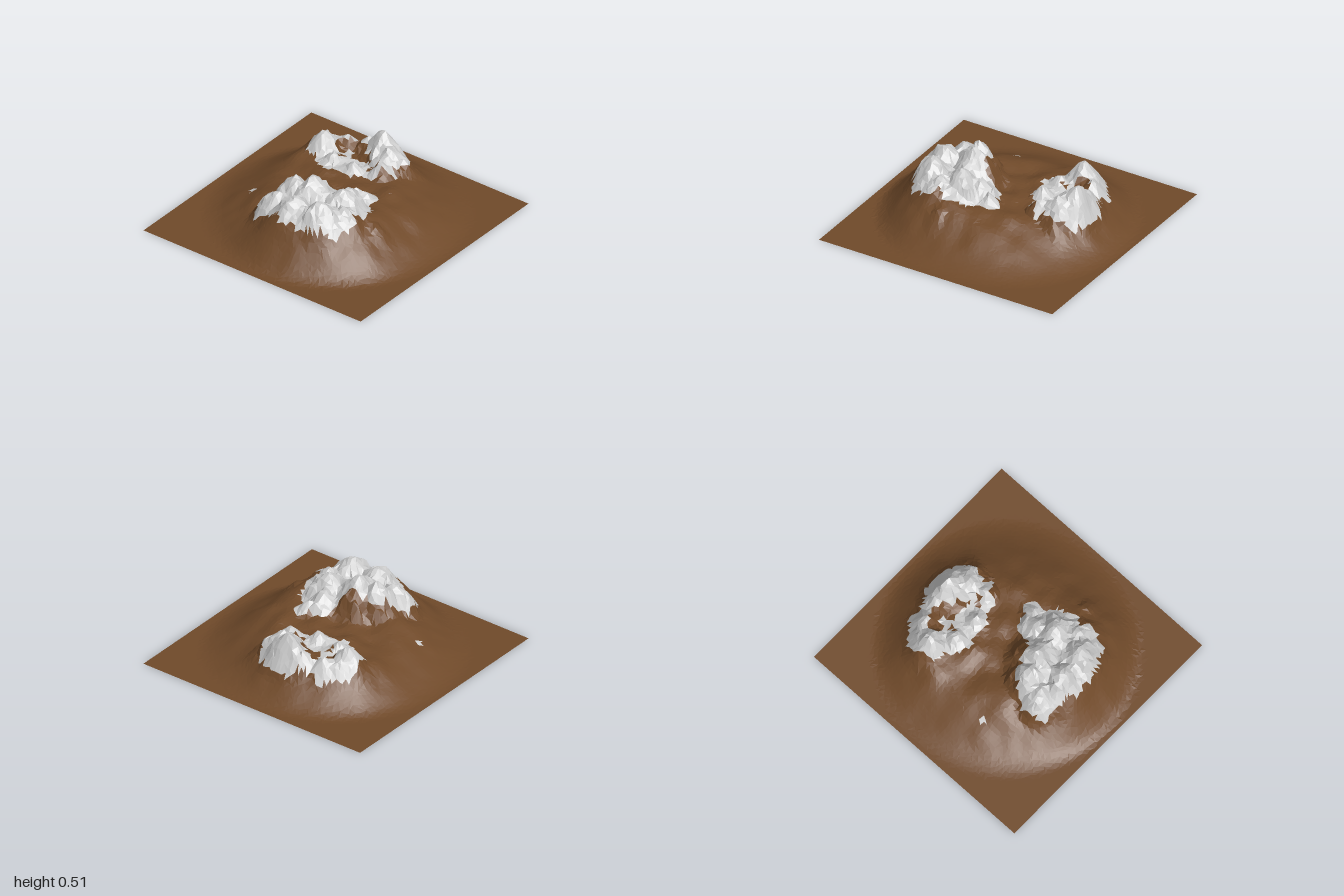
import * as THREE from 'three';

const { lerp, smoothstep } = THREE.MathUtils;

// Seeded lattice hash and smooth value noise in 0..1
const hash = (i, j) => {
  const s = Math.sin(i * 127.1 + j * 311.7 + 4.3) * 43758.5453;
  return s - Math.floor(s);
};
function noise(x, z) {
  const i = Math.floor(x), j = Math.floor(z);
  const u = smoothstep(x - i, 0, 1), v = smoothstep(z - j, 0, 1);
  return lerp(lerp(hash(i, j), hash(i + 1, j), u), lerp(hash(i, j + 1), hash(i + 1, j + 1), u), v);
}

// Summits: x, z, height, steepness
const PEAKS = [
  // front massif
  [-0.12, 0.33, 0.5, 1.2], [0.01, 0.28, 0.52, 0.9], [0.25, 0.24, 0.47, 0.8], [0.23, 0.5, 0.49, 0.7],
  [0.03, 0.52, 0.47, 0.7], [-0.17, 0.48, 0.42, 1], [0.35, 0.36, 0.42, 0.7], [0.2, 0.11, 0.41, 0.9],
  [0.26, 0.0, 0.34, 0.9],
  // bare eastern shoulder
  [0.54, 0.25, 0.29, 0.8],
  // crater rim of the rear massif
  [-0.42, -0.41, 0.4, 0.9], [-0.3, -0.54, 0.34, 0.8], [-0.15, -0.59, 0.36, 0.8], [-0.01, -0.59, 0.46, 0.9],
  [0.1, -0.5, 0.4, 0.8], [0.14, -0.36, 0.35, 0.9], [0.16, -0.55, 0.34, 0.8], [-0.05, -0.27, 0.34, 1],
  [-0.25, -0.29, 0.33, 1],
];

// Plateau height, inner and outer radius of the flank, every 45 degrees from +x towards +z
const FLANKS = [
  [0.25, 0.4, 0.98], [0.31, 0.57, 0.99], [0.32, 0.61, 0.98], [0.24, 0.38, 1.0],
  [0.2, 0.42, 0.99], [0.26, 0.56, 1.0], [0.24, 0.56, 0.99], [0.24, 0.36, 1.03],
];

function plateau(x, z, r) {
  const turn = (Math.atan2(z, x) / (Math.PI / 4) + 8) % 8, s = Math.floor(turn);
  const f = smoothstep(turn - s, 0, 1);
  const [top, inner, outer] = FLANKS[s].map((v, k) => lerp(v, FLANKS[(s + 1) % 8][k], f));
  return lerp(0.24, top, smoothstep(r, 0, 0.4)) * (1 - smoothstep(r, inner, outer));
}

function heightAt(x, z) {
  const r = Math.hypot(x, z);
  // gullies on the slopes
  const base = plateau(x, z, r) * (1 + (noise(x * 9 + 20, z * 9) - 0.5) * 0.14);
  const crag = (noise(x * 15, z * 15 + 7) - 0.5) * 0.07 + (noise(x * 32, z * 32) - 0.5) * 0.03;
  let rise = 0;
  for (const [px, pz, py, steepness] of PEAKS) {
    const d = Math.hypot(x - px, z - pz);
    const cone = py - d * (steepness + 1.2 * d) - base;
    // crags are strongest half way up and die out at the foot
    rise = Math.max(rise, cone + crag * Math.min(1, d * 10) * smoothstep(cone, -0.02, 0.08));
  }
  // the summits end where the outer flanks begin
  return base + rise * (1 - smoothstep(r, 0.58, 0.78));
}

// Snow areas: centre x, z and radii
const SNOW = [
  [0.08, 0.42, 0.38, 0.25], [-0.16, 0.5, 0.15, 0.15], [0.24, 0.24, 0.22, 0.2], [0.2, 0.1, 0.14, 0.14],
  [0.28, 0, 0.07, 0.1], [-0.15, -0.42, 0.38, 0.24], [0, -0.52, 0.25, 0.21], [-0.55, 0.27, 0.025, 0.025],
];

function isSnow(x, y, z) {
  const ragged = (noise(x * 18 + 50, z * 18) - 0.5) * 0.25;
  const covered = SNOW.some(([cx, cz, rx, rz]) => Math.hypot((x - cx) / rx, (z - cz) / rz) + ragged < 1);
  // bare patches inside the crater
  const crater = Math.hypot((x + 0.1) / 0.25, (z + 0.44) / 0.14) < 1;
  return covered && !(crater && y < 0.3 && noise(x * 14, z * 14 + 30) > 0.53);
}

function makeSurface(name, corners, color) {
  const geometry = new THREE.BufferGeometry();
  geometry.setAttribute('position', new THREE.Float32BufferAttribute(corners.flat(), 3));
  geometry.computeVertexNormals();
  const material = new THREE.MeshStandardMaterial({ color, flatShading: true, side: THREE.DoubleSide });
  const mesh = new THREE.Mesh(geometry, material);
  mesh.name = name;
  return mesh;
}

export function createModel() {
  const N = 64, step = 2 / N, grid = [];
  // Irregular grid of terrain points, straight and level along the border
  for (let j = 0; j <= N; j++) {
    for (let i = 0; i <= N; i++) {
      const inside = i > 0 && j > 0 && i < N && j < N ? 0.65 * step : 0;
      const x = -1 + i * step + (hash(i, j + 90) - 0.5) * inside;
      const z = -1 + j * step + (hash(i + 90, j) - 0.5) * inside;
      grid.push([x, inside ? heightAt(x, z) : 0, z]);
    }
  }
  // Sort the facets into bare ground and snow
  const ground = [], snow = [];
  const addFacet = (a, b, c) => {
    const mid = [0, 1, 2].map((k) => (a[k] + b[k] + c[k]) / 3);
    (isSnow(...mid) ? snow : ground).push(a, b, c);
  };
  for (let j = 0; j < N; j++) {
    for (let i = 0; i < N; i++) {
      const a = grid[j * (N + 1) + i], b = grid[j * (N + 1) + i + 1];
      const c = grid[(j + 1) * (N + 1) + i], d = grid[(j + 1) * (N + 1) + i + 1];
      if (hash(i, j) < 0.5) {
        addFacet(a, c, b);
        addFacet(b, c, d);
      } else {
        addFacet(a, c, d);
        addFacet(a, d, b);
      }
    }
  }
  const model = new THREE.Group();
  model.name = 'mountain';
  model.add(makeSurface('mountainGround', ground, 0x704a2a), makeSurface('snowCaps', snow, 0xcccccc));
  return model;
}
